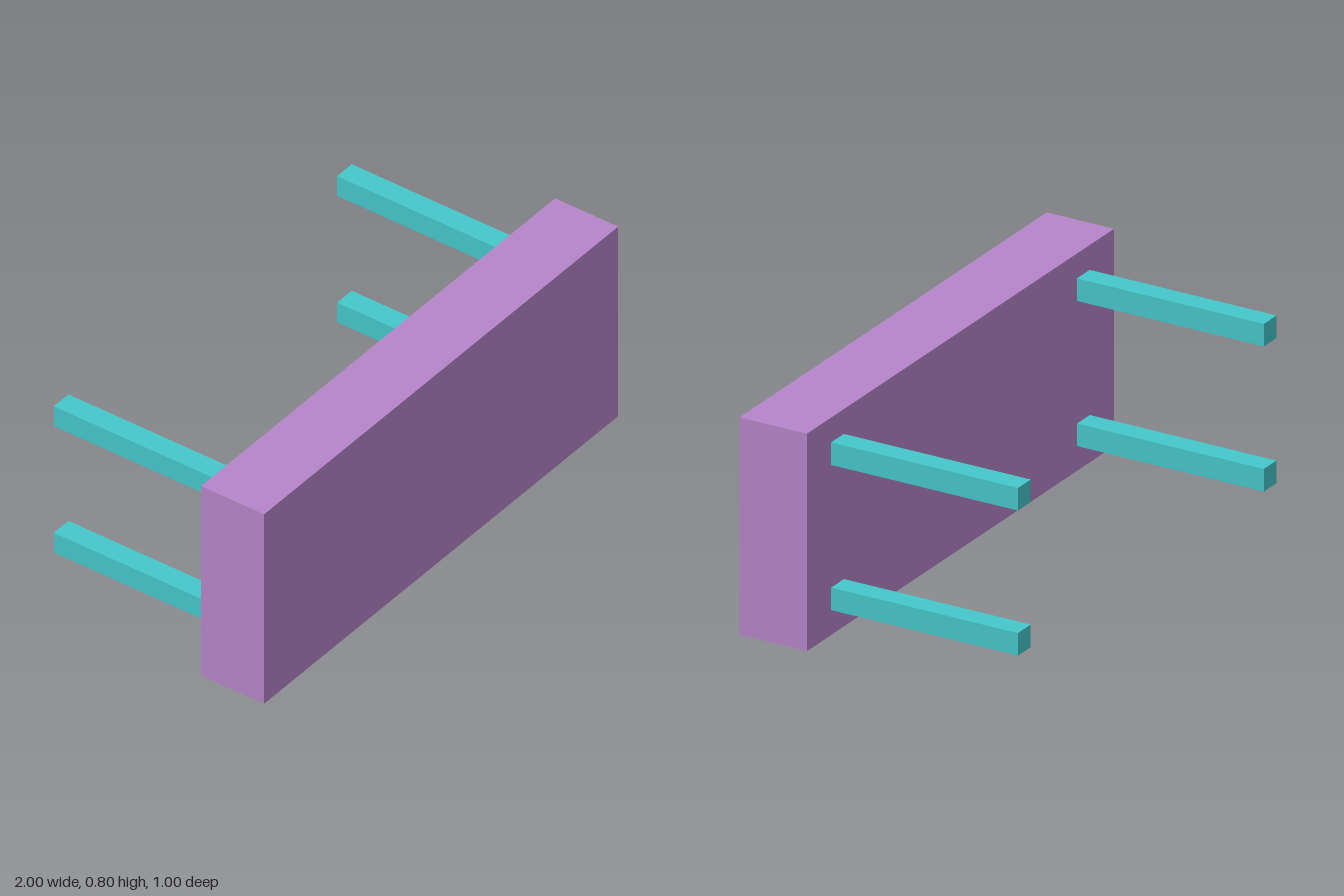
import * as THREE from 'three';

export function createModel() {
  const model = new THREE.Group();
  model.name = 'table';

  const purple = new THREE.MeshStandardMaterial({ color: 0xb585c9 });
  purple.name = 'purple';
  const teal = new THREE.MeshStandardMaterial({ color: 0x46c7cb });
  teal.name = 'teal';

  const height = 0.8, front = 0.5, back = -0.5, joint = 0.235;
  const legSize = 0.083, legX = 0.8, legOffset = 0.267;

  // Box spanning z0..z1, centred on x, y
  const addBox = (name, material, w, h, x, y, z0, z1) => {
    const mesh = new THREE.Mesh(new THREE.BoxGeometry(w, h, z1 - z0), material);
    mesh.name = name;
    mesh.position.set(x, y, (z0 + z1) / 2);
    model.add(mesh);
  };

  // Thick top, standing on its long edge
  addBox('tableTop', purple, 2, height, 0, height / 2, joint, front);

  // Four legs pointing backwards
  for (const sx of [-1, 1]) {
    for (const sy of [-1, 1]) {
      const name = (sy > 0 ? 'upper' : 'lower') + (sx > 0 ? 'Left' : 'Right') + 'Leg';
      addBox(name, teal, legSize, legSize, sx * legX, height / 2 + sy * legOffset, back, joint);
    }
  }

  return model;
}
